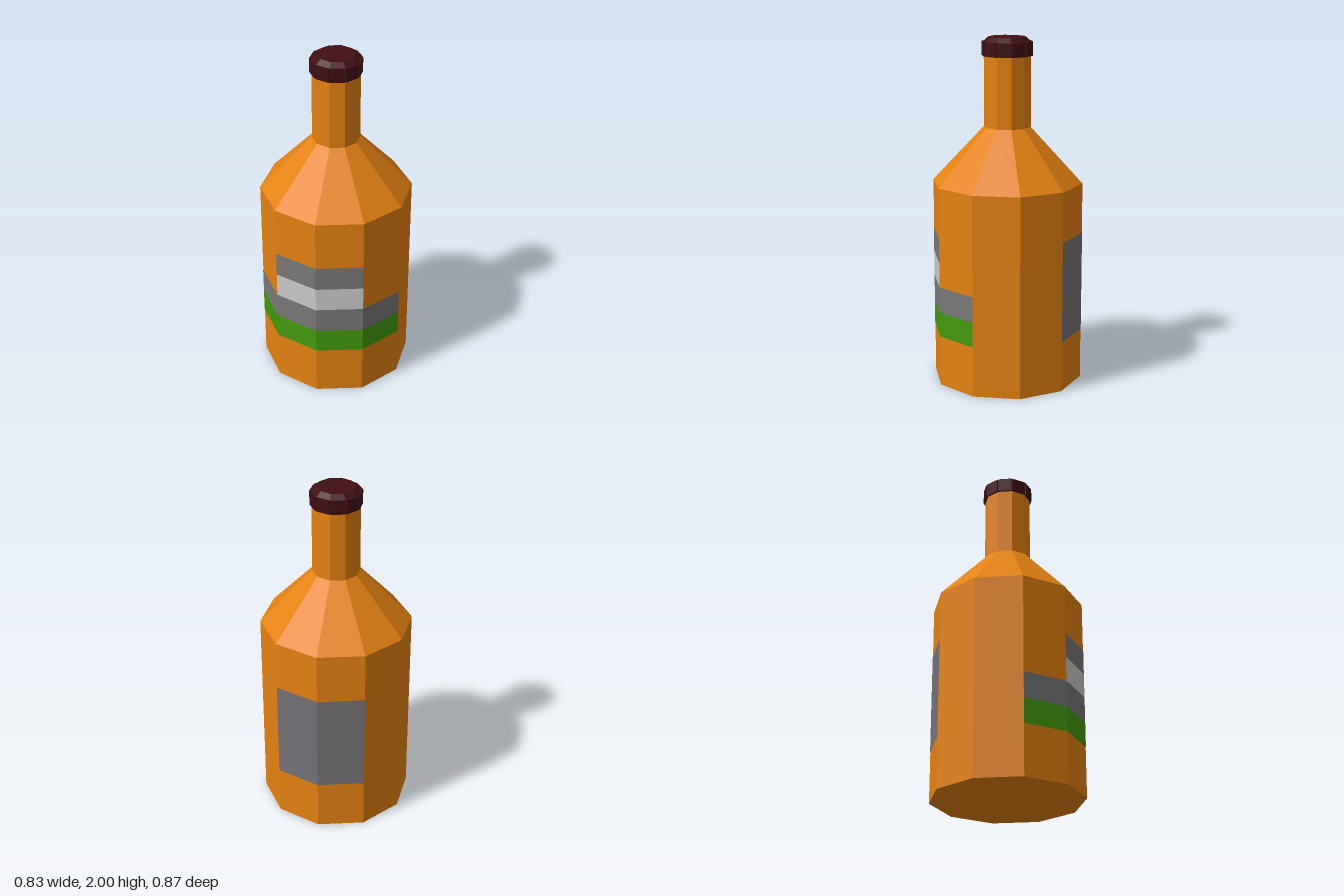
import * as THREE from 'three';

const SIDES = 10;
const STEP = (Math.PI * 2) / SIDES;
const RADIUS = 0.435;

const paint = (color) => new THREE.MeshStandardMaterial({ color, flatShading: true });

// Faceted surface of revolution; spans the given ten-sided facets, facet 0 starting at +z.
function turned(name, points, material, first = 0, count = SIDES) {
  const profile = points.map(([r, y]) => new THREE.Vector2(r, y));
  const mesh = new THREE.Mesh(new THREE.LatheGeometry(profile, count, first * STEP, count * STEP), material);
  mesh.name = name;
  return mesh;
}

export function createModel() {
  const glass = paint(0xe58211);
  const capRed = paint(0x400e14);
  const grey = paint(0x787878);
  const pale = paint(0xcccccc);
  const green = paint(0x429a0d);
  const backGrey = paint(0x757277);

  const bottle = new THREE.Group();
  bottle.name = 'bottle';

  // Glass: recessed base, straight body, sloped shoulder, neck
  bottle.add(turned('glass', [
    [0, 0.04], [0.265, 0.04], [RADIUS, 0], [RADIUS, 1.17], [0.135, 1.49], [0.135, 1.9],
  ], glass));

  // Label bands, lying on the body facets
  const band = (name, y0, y1, material, first, count) => {
    const r = RADIUS + 0.0015;
    bottle.add(turned(name, [[r, y0], [r, y1]], material, first, count));
  };
  band('labelTopBand', 0.735, 0.88, grey, -1, 2);
  band('labelPaleBand', 0.59, 0.735, pale, -1, 2);
  band('labelLowerBand', 0.44, 0.59, grey, -2, 4);
  band('labelGreenBand', 0.295, 0.44, green, -2, 4);
  band('backLabel', 0.295, 0.88, backGrey, 4, 2);

  // Cap: core with chamfered top, and ten separate raised panels around the skirt
  const cap = new THREE.Group();
  cap.name = 'cap';
  cap.add(turned('capCore', [
    [0.13, 1.895], [0.137, 1.895], [0.137, 1.975], [0.108, 2], [0, 2],
  ], capRed));
  const panel = new THREE.BoxGeometry(0.083, 0.08, 0.014);
  for (let i = 0; i < SIDES; i++) {
    const a = (i + 0.5) * STEP;
    const mesh = new THREE.Mesh(panel, capRed);
    mesh.name = 'capPanel';
    mesh.position.set(Math.sin(a) * 0.133, 1.935, Math.cos(a) * 0.133);
    mesh.rotation.y = a;
    cap.add(mesh);
  }
  bottle.add(cap);

  return bottle;
}
